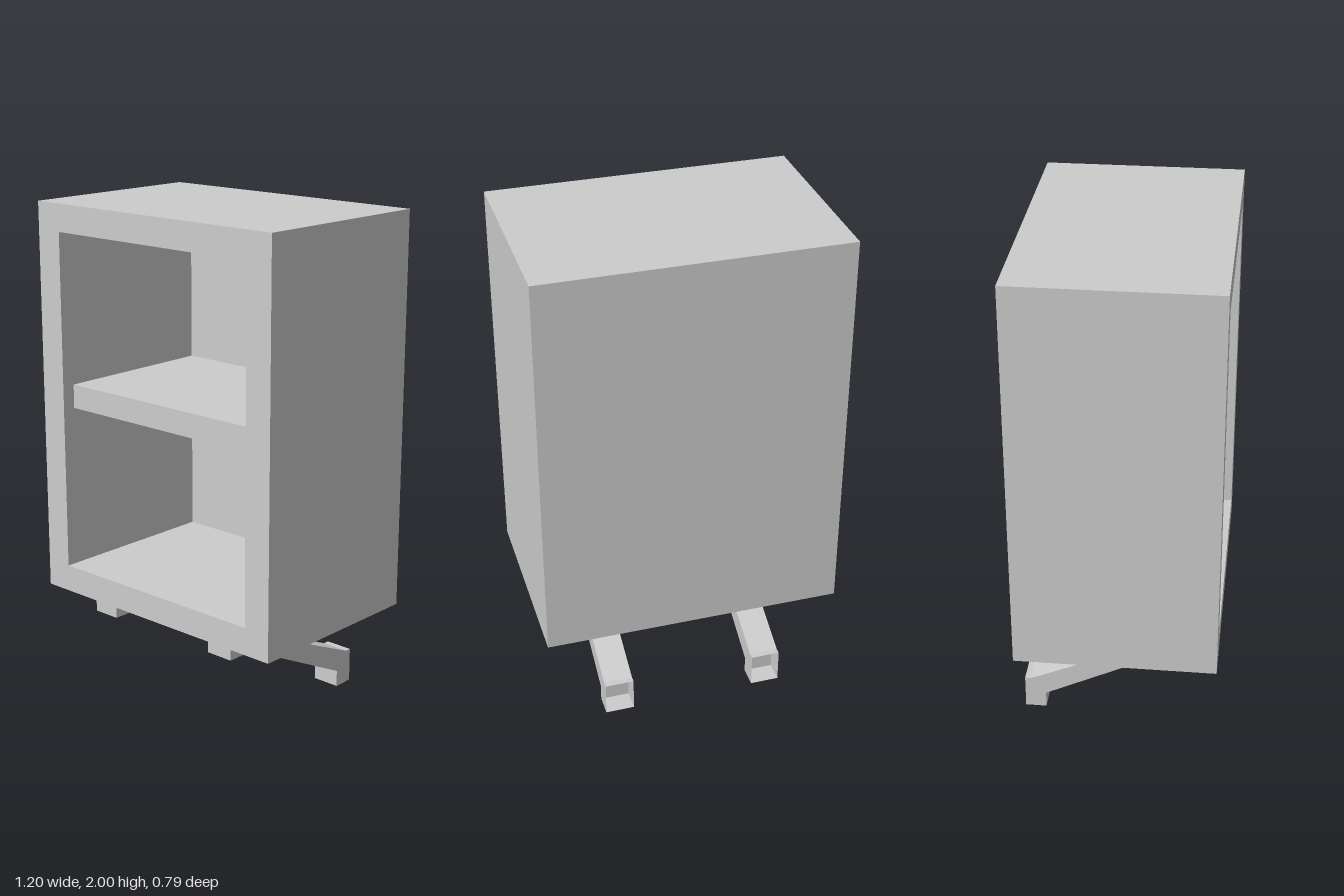
import * as THREE from 'three';

const grey = new THREE.MeshStandardMaterial({ color: 0xcccccc });
grey.name = 'plain grey';
grey.side = THREE.DoubleSide;

function rect(target, x, y0, y1) {
  target.moveTo(-x, y0);
  target.lineTo(x, y0);
  target.lineTo(x, y1);
  target.lineTo(-x, y1);
  target.closePath();
  return target;
}

function box(name, w, y0, y1, z0, z1) {
  const mesh = new THREE.Mesh(new THREE.BoxGeometry(w, y1 - y0, z1 - z0), grey);
  mesh.position.set(0, (y0 + y1) / 2, (z0 + z1) / 2);
  mesh.name = name;
  return mesh;
}

// Hollow bent leg, closed at the front and open at the back of the foot
function legGeometry(width) {
  // z, top, bottom
  const stations = [
    [0.35, 0.405, 0.333], [0.23, 0.405, 0.333], [-0.31, 0.166, 0.068],
    [-0.31, 0.166, 0], [-0.37, 0.14, 0], [-0.395, 0.14, 0],
  ];
  const h = width / 2;
  const points = [];
  const index = [0, 1, 2, 0, 2, 3];
  stations.forEach(([z, top, bottom], s) => {
    points.push(-h, bottom, z, h, bottom, z, h, top, z, -h, top, z);
    if (s === 0) return;
    for (let k = 0; k < 4; k++) {
      const a = (s - 1) * 4 + k, b = (s - 1) * 4 + (k + 1) % 4;
      // the step down to the foot only needs its front wall
      if (s === 3 && k !== 0) continue;
      index.push(a, a + 4, b + 4, a, b + 4, b);
    }
  });
  const indexed = new THREE.BufferGeometry();
  indexed.setAttribute('position', new THREE.Float32BufferAttribute(points, 3));
  indexed.setIndex(index);
  const flat = indexed.toNonIndexed();
  flat.computeVertexNormals();
  return flat;
}

export function createModel() {
  const model = new THREE.Group();
  model.name = 'cabinet';

  // Cabinet walls around the open front
  const outline = rect(new THREE.Shape(), 0.6, 0.405, 2);
  outline.holes.push(rect(new THREE.Path(), 0.485, 0.515, 1.89));
  const walls = new THREE.Mesh(
    new THREE.ExtrudeGeometry(outline, { depth: 0.742, bevelEnabled: false }), grey);
  walls.position.z = -0.345;
  walls.name = 'cabinetWalls';
  model.add(walls);

  model.add(box('backPanel', 1.2, 0.405, 2, -0.397, -0.345));
  model.add(box('shelf', 0.97, 1.175, 1.272, -0.345, 0.342));

  // Pair of legs
  const geometry = legGeometry(0.117);
  for (const side of [1, -1]) {
    const leg = new THREE.Mesh(geometry, grey);
    leg.position.x = side * 0.313;
    leg.name = side > 0 ? 'leftLeg' : 'rightLeg';
    model.add(leg);
  }
  return model;
}
